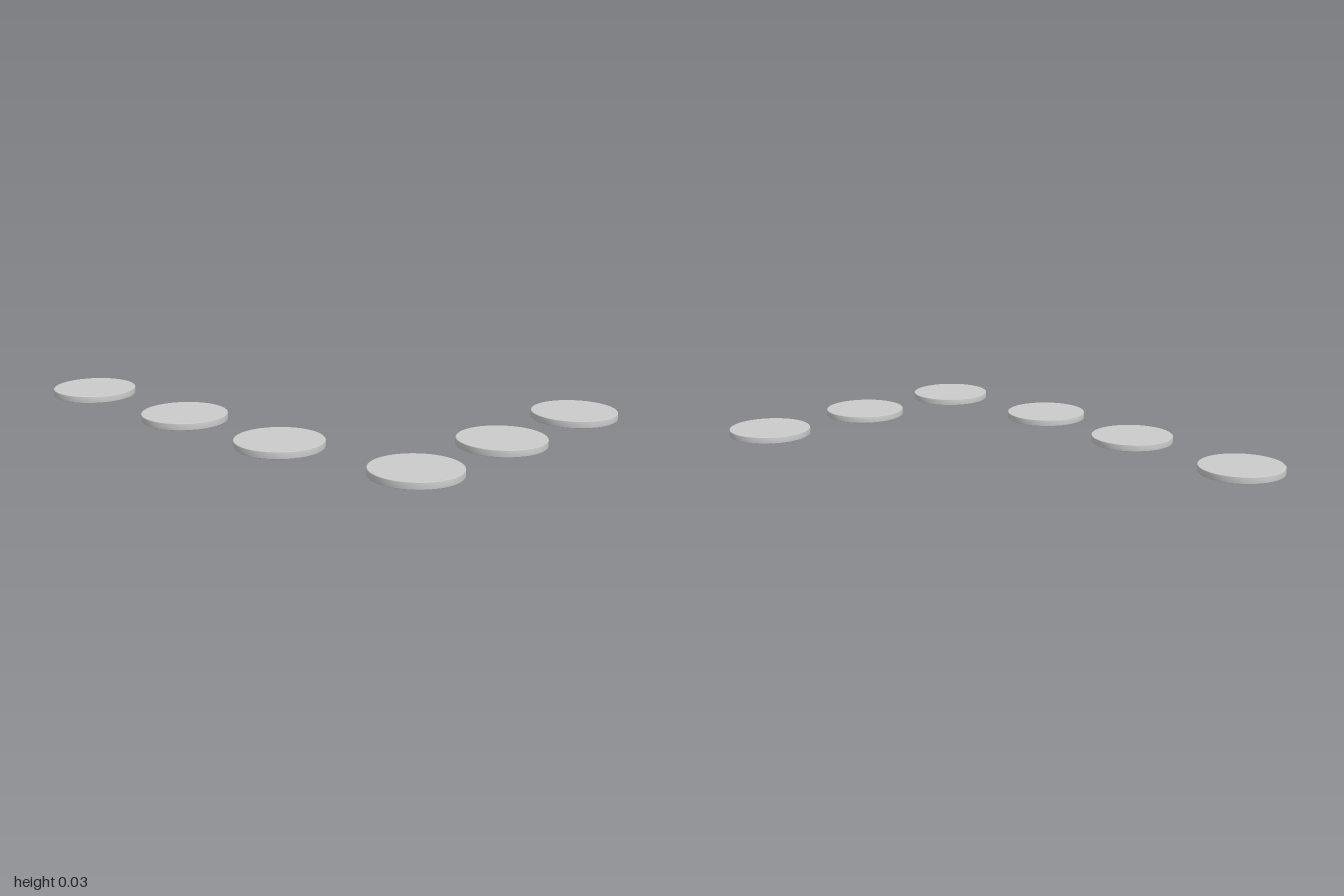
import * as THREE from 'three';

const RADIUS = 0.165;
const HEIGHT = 0.026;
const SOFT = 0.002; // tiny softened rim

// Disc centres (x, z): a column along the right side, then a row along the front
const CENTRES = [
  [-0.476, -0.835],
  [-0.502, -0.259],
  [-0.524, 0.265],
  [-0.463, 0.835],
  [0.025, 0.835],
  [0.523, 0.82],
];

export function createModel() {
  const group = new THREE.Group();
  group.name = 'discs';
  const material = new THREE.MeshStandardMaterial({ color: 0xcccccc });

  // Flat faces with a slightly softened rim, turned from a half profile
  const profile = [
    [0, 0],
    [RADIUS - 2 * SOFT, 0],
    [RADIUS - SOFT, 0],
    [RADIUS, SOFT],
    [RADIUS, HEIGHT - SOFT],
    [RADIUS - SOFT, HEIGHT],
    [RADIUS - 2 * SOFT, HEIGHT],
    [0, HEIGHT],
  ].map(([x, y]) => new THREE.Vector2(x, y));
  const geometry = new THREE.LatheGeometry(profile, 96);

  CENTRES.forEach(([x, z], i) => {
    const disc = new THREE.Mesh(geometry, material);
    disc.name = `disc${i + 1}`;
    disc.position.set(x, 0, z);
    group.add(disc);
  });
  return group;
}
